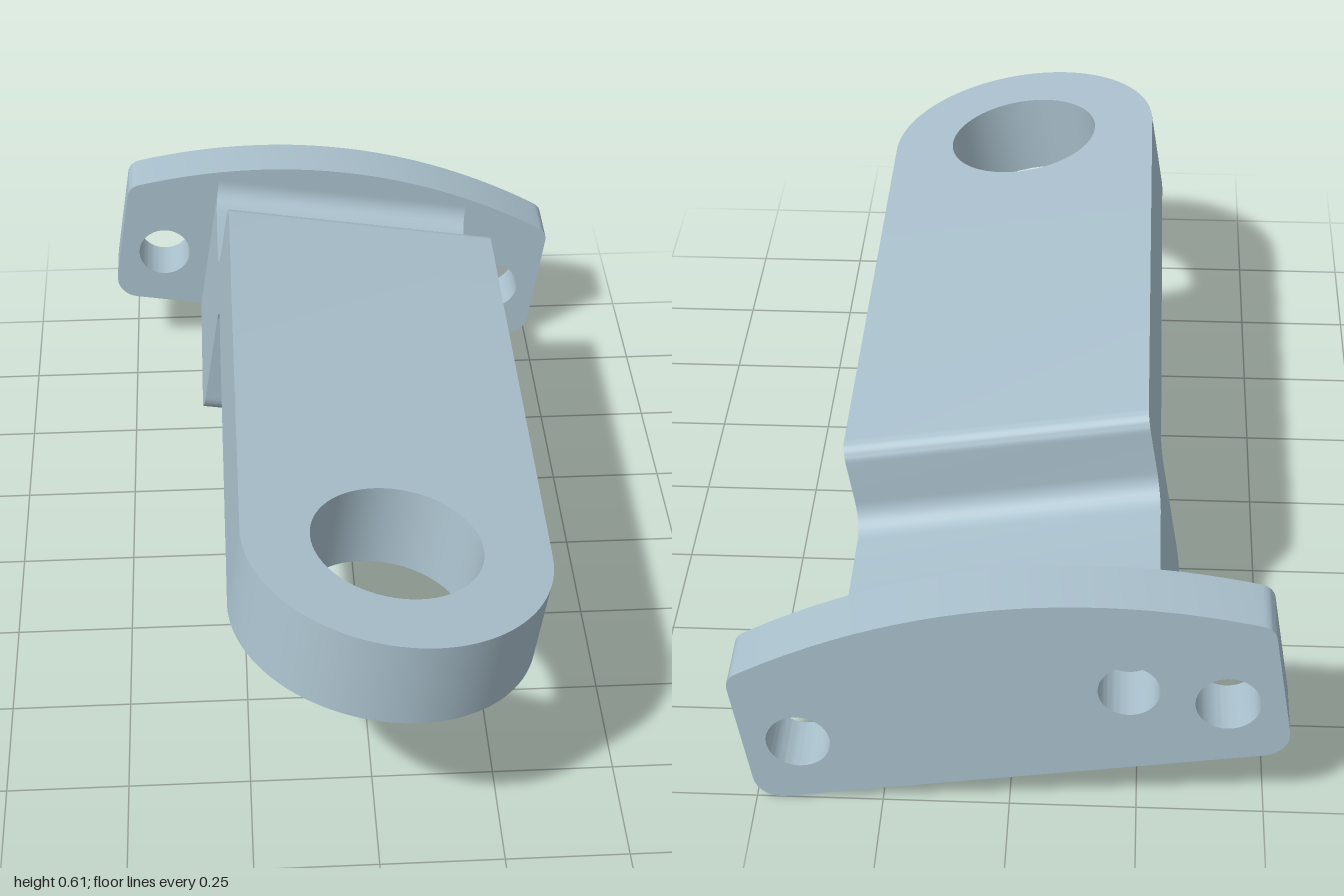
import * as THREE from 'three';
import { toCreasedNormals } from 'three/addons/utils/BufferGeometryUtils.js';

// Closed shape from [x, y, radius] corners, each rounded by a true arc
function roundedShape(corners) {
  const pts = [];
  const n = corners.length;
  corners.forEach(([x, y, r], i) => {
    const p = new THREE.Vector2(x, y);
    if (!r) { pts.push(p); return; }
    const [ax, ay] = corners[(i + n - 1) % n];
    const [bx, by] = corners[(i + 1) % n];
    const a = new THREE.Vector2(ax, ay).sub(p).normalize();
    const b = new THREE.Vector2(bx, by).sub(p).normalize();
    const half = Math.acos(a.dot(b)) / 2;
    const centre = a.clone().add(b).normalize().multiplyScalar(r / Math.sin(half)).add(p);
    const start = a.multiplyScalar(r / Math.tan(half)).add(p).sub(centre);
    const end = b.multiplyScalar(r / Math.tan(half)).add(p).sub(centre);
    const sweep = Math.atan2(start.cross(end), start.dot(end));
    for (let k = 0; k <= 8; k++) {
      pts.push(start.clone().rotateAround(new THREE.Vector2(), sweep * k / 8).add(centre));
    }
  });
  return new THREE.Shape(pts);
}

function addHole(shape, x, y, r) {
  shape.holes.push(new THREE.Path().absarc(x, y, r, 0, Math.PI * 2, true));
}

function extrude(shape, depth) {
  return new THREE.ExtrudeGeometry(shape, { depth, bevelEnabled: false, curveSegments: 32 });
}

export function createModel() {
  const steel = new THREE.MeshStandardMaterial({ color: 0xa9c0cc });
  steel.name = 'blue grey steel';

  const bracket = new THREE.Group();
  bracket.name = 'bracket';
  const add = (name, geometry) => {
    const mesh = new THREE.Mesh(toCreasedNormals(geometry, 0.5), steel);
    mesh.name = name;
    bracket.add(mesh);
  };

  const half = 0.311;              // half width of block and arm
  const armTop = 0.495, armBottom = 0.307;
  const plateFront = -0.876, armJoin = 0.3, tipZ = 0.689;

  // Stepped body: block, saddle and rear of the arm, as a side profile (z, y)
  const body = extrude(roundedShape([
    [plateFront, 0, 0],
    [-0.385, 0, 0.05],
    [-0.385, armBottom, 0.04],
    [armJoin, armBottom, 0],
    [armJoin, armTop, 0],
    [-0.54, armTop, 0.035],
    [-0.54, armBottom, 0.055],
    [plateFront, armBottom, 0.055],
    [plateFront, armBottom + 0.06, 0],
  ]), half * 2);
  body.rotateY(-Math.PI / 2).translate(half, 0, 0);
  add('steppedBody', body);

  // Round arm end with its eye
  const tip = new THREE.Shape();
  tip.moveTo(-half, armJoin);
  tip.lineTo(half, armJoin);
  tip.lineTo(half, tipZ);
  tip.absarc(0, tipZ, half, 0, Math.PI, false);
  tip.closePath();
  addHole(tip, 0, tipZ - 0.003, 0.173);
  const tipGeometry = extrude(tip, armTop - armBottom);
  tipGeometry.rotateX(Math.PI / 2).translate(0, armTop, 0);
  add('armEnd', tipGeometry);

  // Mounting plate with a curved top, two bolt holes and a dowel hole
  const outline = [[-0.53, 0, 0.055], [0.53, 0, 0.055]];
  for (let i = 0; i <= 24; i++) {
    const x = 0.53 - 1.06 * i / 24;
    outline.push([x, 0.422 - x * x / 2.6, i % 24 ? 0 : 0.035]);
  }
  const plate = roundedShape(outline);
  addHole(plate, -0.421, 0.14, 0.063);
  addHole(plate, 0.421, 0.14, 0.063);
  addHole(plate, -0.237, 0.194, 0.06);
  const plateGeometry = extrude(plate, 1 + plateFront);
  plateGeometry.translate(0, 0, -1);
  add('mountingPlate', plateGeometry);

  // The whole bracket leans sideways
  bracket.rotation.z = THREE.MathUtils.degToRad(-9);
  bracket.position.set(-0.026, 0.0785, 0);

  const model = new THREE.Group();
  model.name = 'mountingBracket';
  model.add(bracket);
  return model;
}
